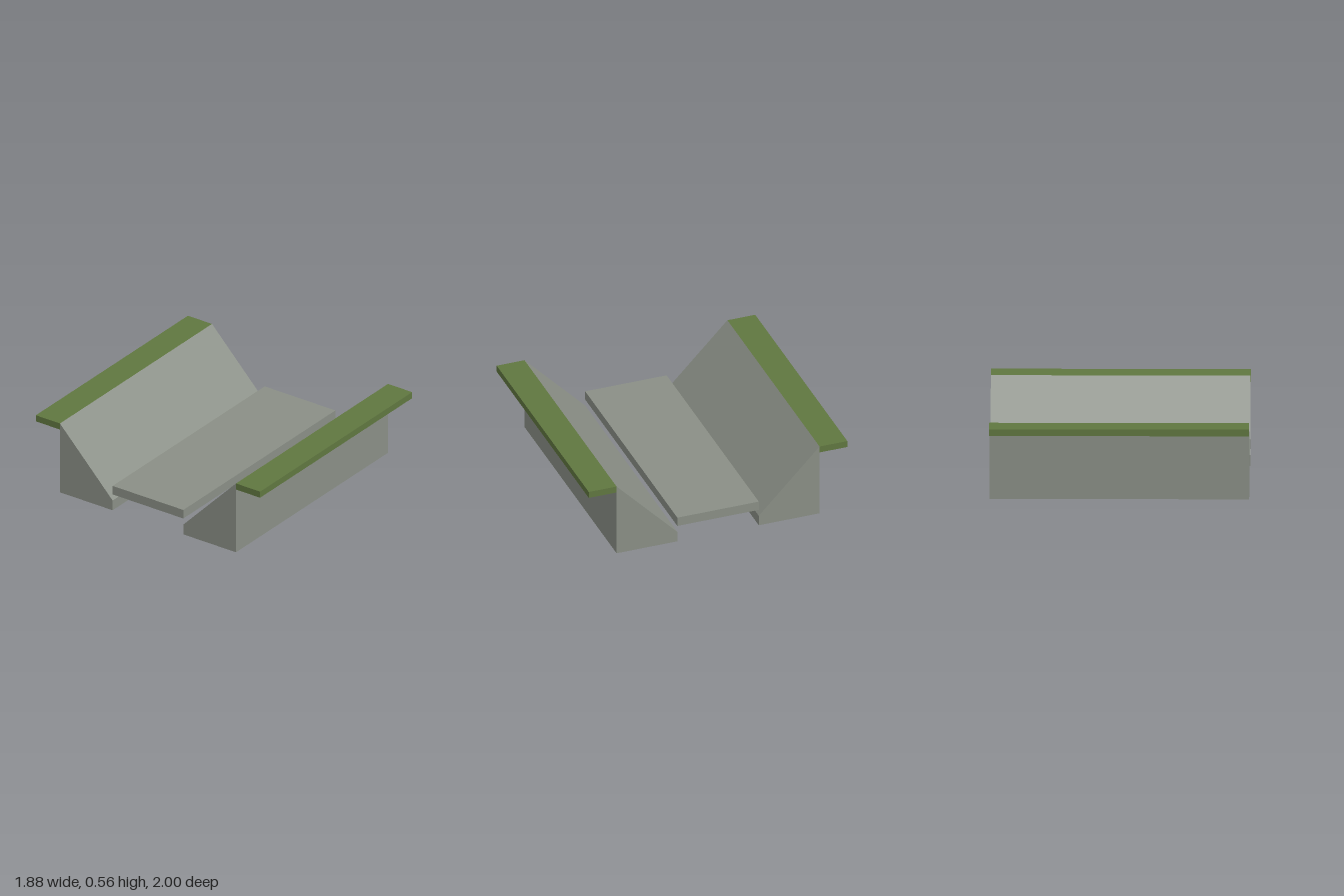
import * as THREE from 'three';

const WIDTH = 1.88;

export function createModel() {
  const model = new THREE.Group();
  model.name = 'channel';

  const concrete = new THREE.MeshStandardMaterial({ name: 'concrete grey', color: 0x8a8f86 });
  const grass = new THREE.MeshStandardMaterial({ name: 'grass green', color: 0x607740 });

  const slab = (name, material, y0, y1, z0, z1) => {
    const mesh = new THREE.Mesh(new THREE.BoxGeometry(WIDTH, y1 - y0, z1 - z0), material);
    mesh.name = name;
    mesh.position.set(0, (y0 + y1) / 2, (z0 + z1) / 2);
    return mesh;
  };

  // Raised channel floor
  model.add(slab('channelFloor', concrete, 0.13, 0.2, -0.315, 0.315));

  // Sloped bank cross-section, drawn as (z, y)
  const profile = new THREE.Shape([
    [0.315, 0], [0.785, 0], [0.785, 0.565], [0.315, 0.08],
  ].map(([z, y]) => new THREE.Vector2(z, y)));
  const bankGeometry = new THREE.ExtrudeGeometry(profile, { depth: WIDTH, bevelEnabled: false });
  bankGeometry.translate(0, 0, -WIDTH / 2);
  bankGeometry.rotateY(-Math.PI / 2);

  // Matching bank and grass verge on both sides
  for (const [side, turn] of [['front', 0], ['back', Math.PI]]) {
    const group = new THREE.Group();
    group.name = side + 'Side';
    const bank = new THREE.Mesh(bankGeometry, concrete);
    bank.name = side + 'Bank';
    group.add(bank, slab(side + 'GrassVerge', grass, 0.515, 0.565, 0.785, 1));
    group.rotation.y = turn;
    model.add(group);
  }

  return model;
}
